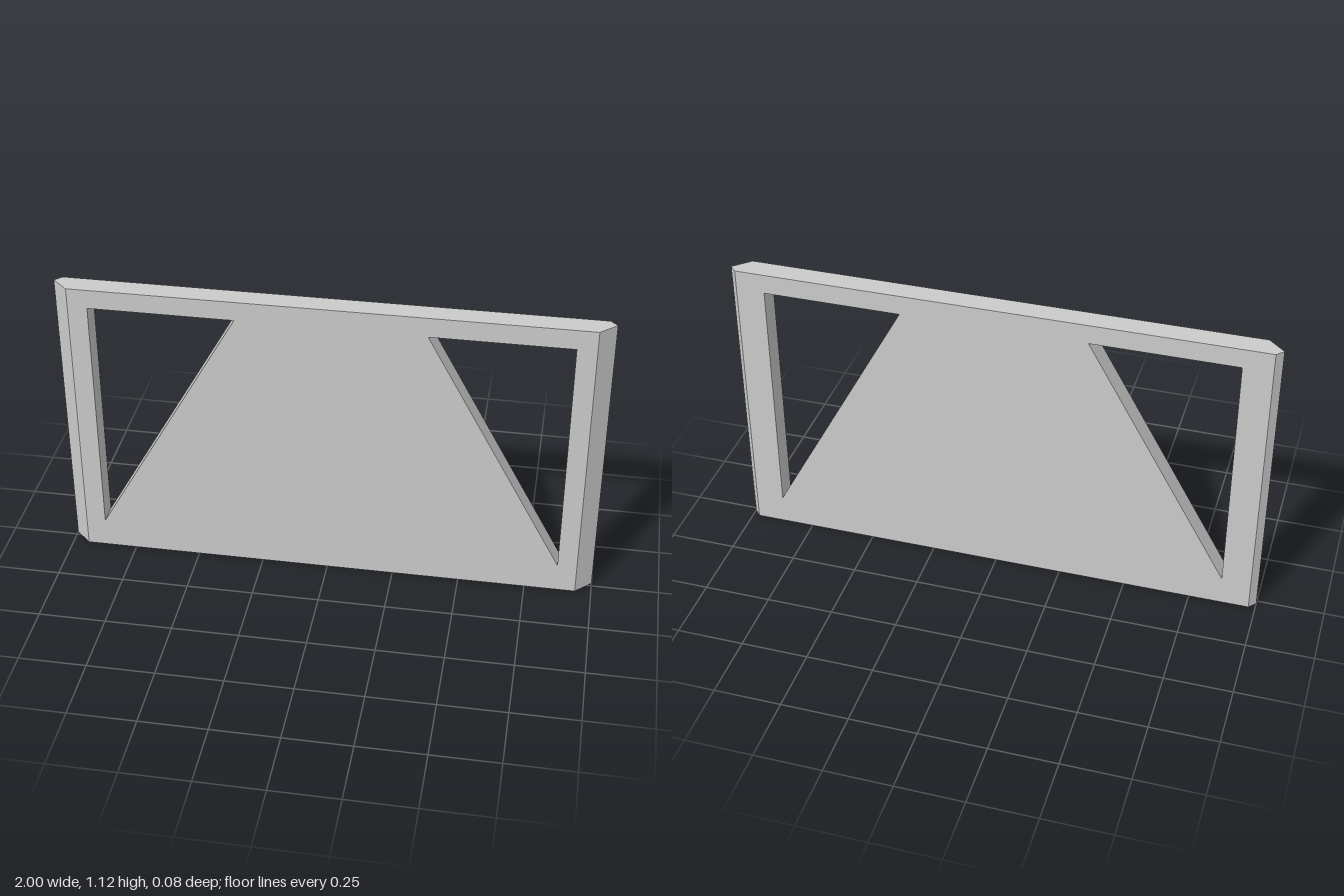
import * as THREE from 'three';

const HEIGHT = 1.12;
const HALF_DEPTH = 0.042;
const RIDGE_Z = -0.015; // where the pointed side edges reach furthest out
const FRONT_X = 0.94;
const BACK_X = 0.975;

const polygon = (Type, points) => new Type(points.map(([x, y]) => new THREE.Vector2(x, y)));

export function createModel() {
  const group = new THREE.Group();
  group.name = 'panelWithCutouts';

  // Rectangular outline with a triangular opening on each side
  const outline = polygon(THREE.Shape, [[-1, 0], [1, 0], [1, HEIGHT], [-1, HEIGHT]]);
  outline.holes.push(
    polygon(THREE.Path, [[-0.867, 1.047], [-0.333, 1.047], [-0.867, 0.112]]),
    polygon(THREE.Path, [[0.868, 1.045], [0.355, 1.045], [0.868, 0.112]])
  );
  const geometry = new THREE.ExtrudeGeometry(outline, {
    depth: HALF_DEPTH * 2, steps: 2, bevelEnabled: false
  });
  geometry.translate(0, 0, -HALF_DEPTH);

  // Bevel the two side edges to an off-centre ridge
  const pos = geometry.attributes.position;
  for (let i = 0; i < pos.count; i++) {
    const x = pos.getX(i);
    const z = pos.getZ(i);
    if (Math.abs(z) < 0.001) pos.setZ(i, RIDGE_Z);
    else if (Math.abs(x) > 0.99) pos.setX(i, Math.sign(x) * (z > 0 ? FRONT_X : BACK_X));
  }
  geometry.computeVertexNormals();

  const material = new THREE.MeshStandardMaterial({ color: 0xcccccc, flatShading: true });
  const panel = new THREE.Mesh(geometry, material);
  panel.name = 'panel';
  group.add(panel);
  return group;
}
